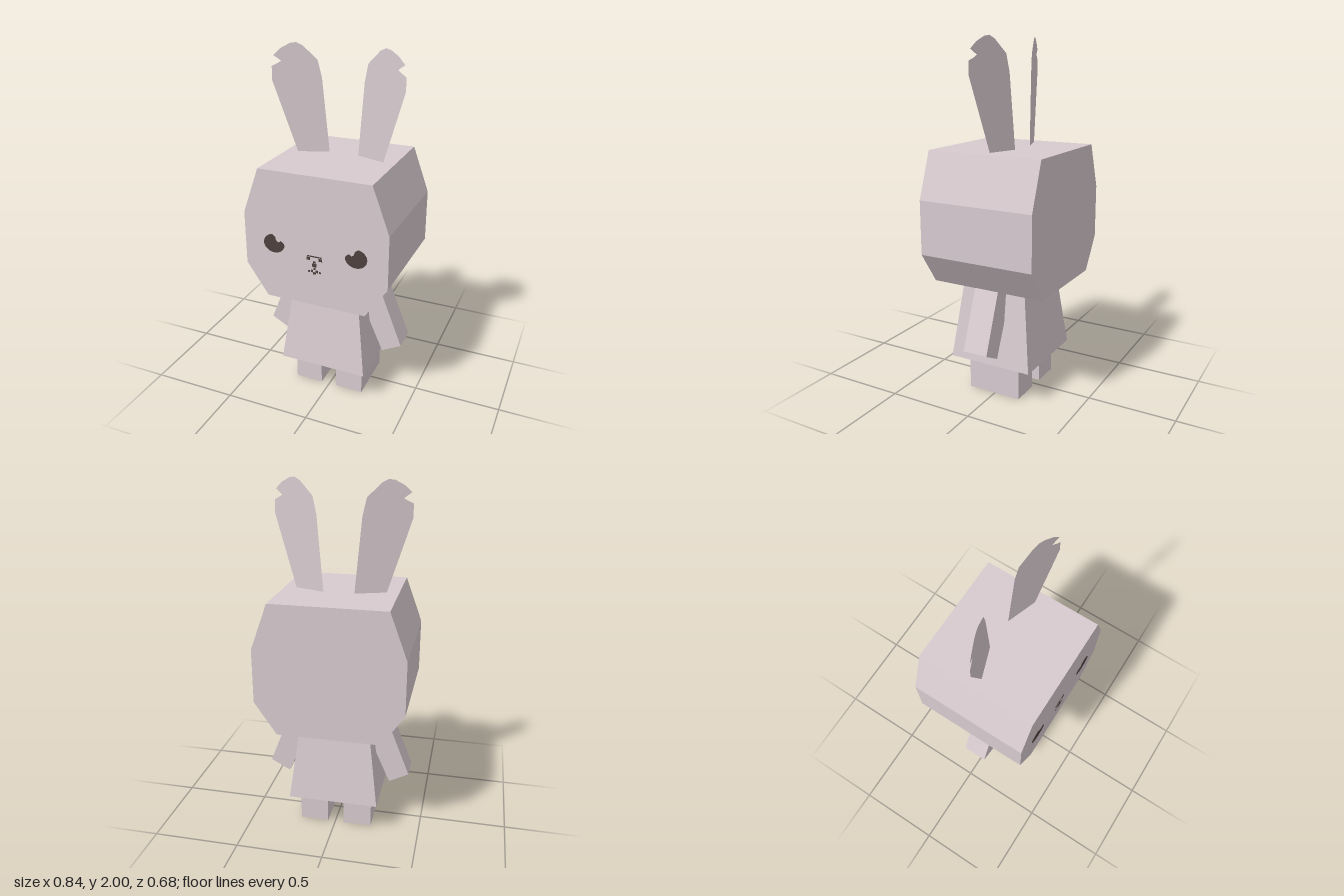
import * as THREE from 'three';

const fur = new THREE.MeshStandardMaterial({ color: 0xd8cbd0, flatShading: true, side: THREE.DoubleSide });
fur.name = 'pale mauve fur';
const dark = new THREE.MeshStandardMaterial({ color: 0x4f403e });
dark.name = 'dark brown';

const CX = -0.003; // mirror line of the figure

// Outline in x/y, swept along z from z0 to z1
function prism(points, z0, z1, material, name) {
  const shape = new THREE.Shape(points.map(([x, y]) => new THREE.Vector2(x, y)));
  const geometry = new THREE.ExtrudeGeometry(shape, { depth: z1 - z0, bevelEnabled: false });
  geometry.translate(0, 0, z0);
  const mesh = new THREE.Mesh(geometry, material);
  mesh.name = name;
  return mesh;
}

const mirror = (points, side) => points.map(([x, y]) => [CX + side * x, y]);

// Flat ear outline, turned slightly so the outer edge comes forward
function ear(side) {
  const outline = [
    [0.085, 1.4], [0.122, 1.815], [0.143, 1.91], [0.217, 1.984], [0.249, 2], [0.28, 1.995], [0.328, 1.968],
    [0.365, 1.932], [0.325, 1.903], [0.345, 1.89], [0.374, 1.875], [0.376, 1.804], [0.251, 1.4],
  ];
  const shape = new THREE.Shape(mirror(outline, side).map(([x, y]) => new THREE.Vector2(x, y)));
  const geometry = new THREE.ShapeGeometry(shape);
  const pos = geometry.attributes.position;
  for (let i = 0; i < pos.count; i++) {
    pos.setZ(i, -0.062 + (Math.abs(pos.getX(i) - CX) - 0.085) * 0.355);
  }
  geometry.computeVertexNormals();
  const mesh = new THREE.Mesh(geometry, fur);
  mesh.name = side > 0 ? 'leftEar' : 'rightEar';
  return mesh;
}

// Oval eye with a notch for the glint on its upper inner side
function eye(side) {
  const cx = 0.238, cy = 0.988, outline = [];
  for (let i = 0; i <= 20; i++) {
    const a = THREE.MathUtils.degToRad(100 + i * 12.7);
    outline.push([cx - Math.cos(a + Math.PI) * -0.062 * -1, cy + Math.sin(a) * 0.054]);
  }
  // The sweep runs from the top, round the outer side, to the inner corner
  const points = outline.map(([x, y]) => [2 * cx - x, y]);
  points.push([0.181, 0.995], [0.198, 1.008], [0.212, 0.997], [0.228, 1.008], [0.23, 1.025]);
  return prism(mirror(points, side), 0.337, 0.343, dark, side > 0 ? 'leftEye' : 'rightEye');
}

export function createModel() {
  const model = new THREE.Group();
  model.name = 'rabbit';

  // Faceted head
  const half = [[0.32, 1.405], [0.415, 1.145], [0.415, 0.84], [0.29, 0.655]];
  const headOutline = [...mirror(half, 1), ...mirror([...half].reverse(), -1)];
  model.add(prism(headOutline, -0.338, 0.34, fur, 'head'));

  // Flared body
  const bodyGeometry = new THREE.BoxGeometry(1, 1, 1).toNonIndexed();
  const pos = bodyGeometry.attributes.position;
  for (let i = 0; i < pos.count; i++) {
    const top = pos.getY(i) > 0;
    pos.setXYZ(i,
      CX + pos.getX(i) * (top ? 0.396 : 0.516),
      top ? 0.658 : 0.195,
      0.01 + pos.getZ(i) * (top ? 0.385 : 0.5));
  }
  bodyGeometry.computeVertexNormals();
  const body = new THREE.Mesh(bodyGeometry, fur);
  body.name = 'body';
  model.add(body);

  for (const side of [1, -1]) {
    const label = side > 0 ? 'left' : 'right';
    // Slanted arm
    const armOutline = [[0.418, 0.33], [0.305, 0.27], [0.165, 0.59], [0.18, 0.66], [0.29, 0.66]];
    model.add(prism(mirror(armOutline, side), -0.07, 0.075, fur, label + 'Arm'));
    // Block leg
    const leg = new THREE.Mesh(new THREE.BoxGeometry(0.165, 0.19, 0.32), fur);
    leg.position.set(CX + side * 0.13, 0.095, 0.005);
    leg.name = label + 'Leg';
    model.add(leg, ear(side), eye(side));
  }

  // Nose and mouth made of small dabs: x, y, width, height
  const dabs = [
    [0, 0.953, 0.085, 0.006], [-0.036, 0.938, 0.02, 0.016], [0.036, 0.938, 0.02, 0.016],
    [0, 0.92, 0.012, 0.012], [0, 0.902, 0.026, 0.018], [0, 0.882, 0.012, 0.014],
    [-0.014, 0.866, 0.012, 0.014], [0.014, 0.866, 0.012, 0.014], [0, 0.854, 0.014, 0.012],
    [-0.033, 0.862, 0.01, 0.01], [0.033, 0.862, 0.01, 0.01],
  ];
  const muzzle = new THREE.Group();
  muzzle.name = 'noseAndMouth';
  for (const [x, y, w, h] of dabs) {
    const dab = new THREE.Mesh(new THREE.BoxGeometry(w, h, 0.006), dark);
    dab.position.set(CX + x, y, 0.34);
    dab.name = 'dab';
    muzzle.add(dab);
  }
  model.add(muzzle);
  return model;
}
